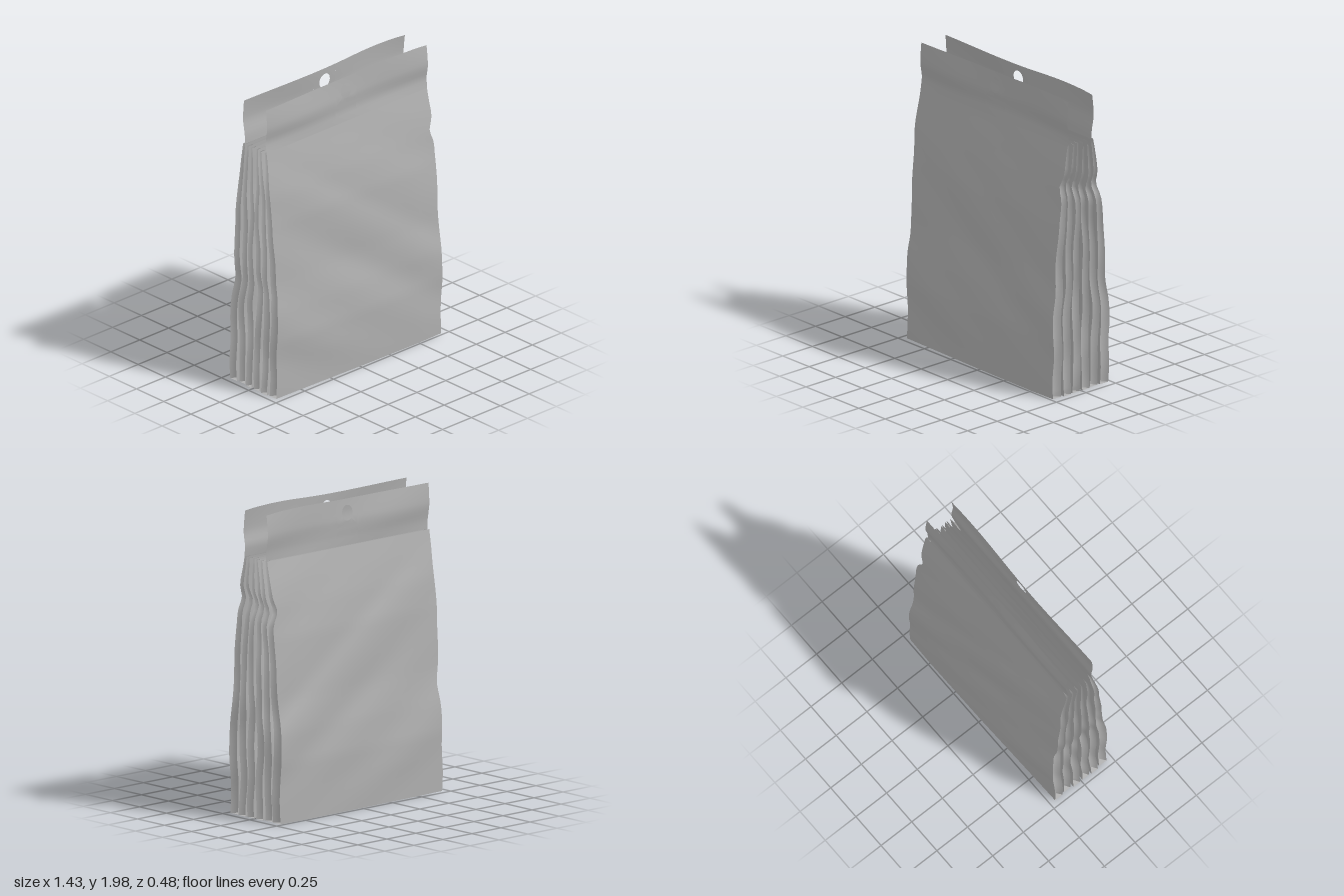
import * as THREE from 'three';

const film = new THREE.MeshStandardMaterial({ color: 0xb0b0b0, side: THREE.DoubleSide });
film.name = 'grey film';

const BOTTOM = 0.015, MOUTH = 1.69, TOP = 1.99, HALF = 0.7;
const lerp = THREE.MathUtils.lerp;
const bump = (v, centre, width) => Math.exp(-(((v - centre) / width) ** 2));

// Smooth interpolation through [position, value] pairs
function profile(points) {
  return (v) => {
    let i = 0;
    while (i < points.length - 2 && v > points[i + 1][0]) i++;
    const [a, b] = [points[i], points[i + 1]];
    return lerp(a[1], b[1], THREE.MathUtils.clamp((v - a[0]) / (b[0] - a[0]), 0, 1));
  };
}

// How far the stack has fanned out, 0 at the mouth to 1 at the fullest height
const fan = profile([[0, 0.94], [0.2, 0.97], [0.4, 1], [0.6, 0.92], [0.8, 0.77],
  [1.0, 0.68], [1.2, 0.58], [1.4, 0.39], [1.55, 0.2], [MOUTH, 0]]);
// The stack is thinner towards its right
const widen = profile([[-0.7, 0.8], [-0.3, 0.88], [0, 0.94], [0.5, 1], [0.7, 0.97]]);
// Depth of the hanging strip
const strip = profile([[MOUTH, 0.106], [1.76, 0.097], [1.85, 0.107], [1.92, 0.102], [2, 0.095]]);

// Grid surface from a function of u and v in 0..1
function sheet(name, fn, nu, nv) {
  const pos = [], index = [];
  for (let j = 0; j <= nv; j++) {
    for (let i = 0; i <= nu; i++) {
      pos.push(...fn(i / nu, j / nv));
      if (i < nu && j < nv) {
        const a = j * (nu + 1) + i, b = a + nu + 1;
        index.push(a, a + 1, b, a + 1, b + 1, b);
      }
    }
  }
  const geometry = new THREE.BufferGeometry();
  geometry.setAttribute('position', new THREE.Float32BufferAttribute(pos, 3));
  geometry.setIndex(index);
  geometry.computeVertexNormals();
  const mesh = new THREE.Mesh(geometry, film);
  mesh.name = name;
  return mesh;
}

// Slightly wavy outline of a bag, with a dent in its left edge
function edgeX(u, y, seed) {
  const near = Math.abs(u) ** 10;
  const wave = 0.005 * Math.sin(y * 7 + seed * 2.3) + 0.003 * Math.sin(y * 17 + seed);
  const dent = u > 0 ? -0.035 * bump(y, 1.39 + 0.03 * Math.sin(seed), 0.06)
    : -0.012 * bump(y, 0, 0.25) + 0.012 * bump(y, 0.72, 0.08);
  return u * HALF + near * (wave * Math.sign(u) + dent);
}

// Shallow diagonal creases, fading at the mouth and bottom
function crease(x, y, seed) {
  const fade = Math.min(1, (MOUTH - y) * 3, y * 4);
  return fade * (0.005 * Math.sin(4 * x + 6 * y + seed * 0.3)
    + 0.003 * Math.sin(9 * x + 13 * y + 1)
    - 0.007 * bump(0.6 * x + y, 0.75, 0.12) * bump(x, 0.1, 0.5)
    - 0.006 * bump(0.7 * x + y, 1.2, 0.1));
}

function bag(spec, side, seed) {
  const group = new THREE.Group();
  const panelPoint = (k) => (u, v) => {
    const y = lerp(BOTTOM, MOUTH, v), s = u * 2 - 1, x = edgeX(s, y, seed);
    const spread = (spec.bottom[k] - spec.top[k]) * fan(y) * widen(x);
    return [x, y, side * (spec.top[k] + spread + crease(x, y, seed) * (0.4 + 0.6 * fan(y)))];
  };
  const inner = panelPoint(0), outer = panelPoint(1);
  group.add(sheet('innerPanel', inner, 36, 44), sheet('outerPanel', outer, 36, 44));

  // Folded sides, tucked inwards
  for (const u of [0, 1]) {
    const tuck = (w, v) => {
      const a = inner(u, v), b = outer(u, v);
      const depth = 0.04 * (1 - Math.abs(2 * w - 1));
      return [a[0] + (u ? -depth : depth), a[1], lerp(a[2], b[2], w)];
    };
    group.add(sheet('sideFold', tuck, 2, 44));
  }

  // Bottom
  group.add(sheet('bagBottom', (u, w) => {
    const a = inner(u, 0), b = outer(u, 0);
    return [a[0], BOTTOM, lerp(a[2], b[2], w)];
  }, 36, 1));
  return group;
}

// Hanging strip above the mouth with a punched hole
function header(side, startShift) {
  const group = new THREE.Group();
  group.name = 'header';
  const place = (x, y) => {
    const t = Math.max(0, (y - 1.8) / (TOP - 1.8));
    const ty = y + t * (0.01 * bump(x, 0.4, 0.25) - 0.006 * bump(x, 0.7, 0.06));
    const root = Math.max(0, 1 - (y - MOUTH) / 0.08);
    const ripple = 0.006 * Math.sin(x * 5 + y * 9) * Math.min(1, (y - MOUTH) * 8);
    return [x, ty, side * (strip(y) + startShift * root + ripple)];
  };
  const block = (x0, x1, y0, y1, nu, nv) => group.add(sheet('headerFilm',
    (u, v) => place(lerp(x0, x1, u), lerp(y0, y1, v)), nu, nv));
  const r = 0.09, cy = TOP - r;
  block(-0.695, -r, MOUTH, TOP, 16, 12);
  block(r, 0.697, MOUTH, TOP, 16, 12);
  block(-r, r, MOUTH, cy - r, 6, 5);
  // Square around the hole, lofted from rim to hole
  group.add(sheet('hangHole', (u, v) => {
    const corner = [[-1, -1], [1, -1], [1, 1], [-1, 1], [-1, -1]];
    const i = Math.min(3, Math.floor(u * 4)), f = u * 4 - i;
    const sx = lerp(corner[i][0], corner[i + 1][0], f);
    const sy = lerp(corner[i][1], corner[i + 1][1], f);
    const len = Math.hypot(sx, sy);
    return place(lerp(sx * r, sx / len * 0.045, v), cy + lerp(sy * r, sy / len * 0.05, v));
  }, 24, 3));
  return group;
}

export function createModel() {
  const model = new THREE.Group();
  model.name = 'bagStack';
  // Depths of each bag's inner and outer panel, at the mouth and at the bottom
  const layers = [
    { name: 'centreBag', top: [0.014, 0.026], bottom: [0.01, 0.075] },
    { name: 'middleBag', top: [0.05, 0.064], bottom: [0.09, 0.155] },
    { name: 'outerBag', top: [0.088, 0.106], bottom: [0.17, 0.244] },
  ];
  for (const side of [1, -1]) {
    layers.forEach((spec, i) => {
      const part = bag(spec, side, i + (side < 0 ? 3.5 : 0));
      part.name = (side > 0 ? 'front ' : 'back ') + spec.name;
      // The strip grows from the front panel of each outermost bag
      if (i === 2) part.add(header(side, side > 0 ? 0 : -0.014));
      model.add(part);
    });
  }
  return model;
}
